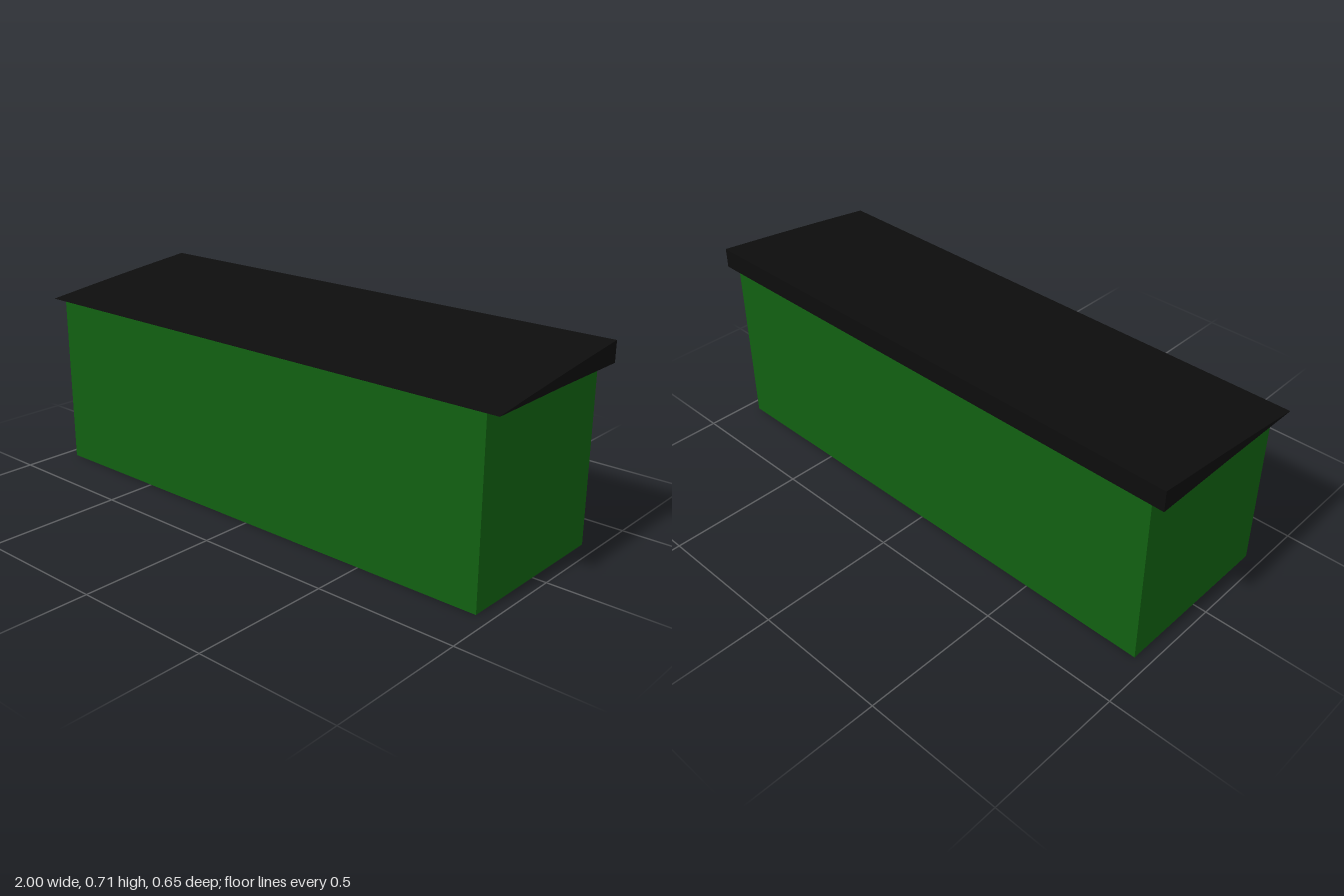
import * as THREE from 'three';

const LENGTH = 2, DEPTH = 0.654, RIBS = 15;

// Wedge roof: a segmented box whose top slopes up to the back with faint ribs
function roofGeometry() {
  const geo = new THREE.BoxGeometry(LENGTH, 1, DEPTH, RIBS * 8, 1, 12);
  const pos = geo.attributes.position;
  for (let i = 0; i < pos.count; i++) {
    const x = pos.getX(i);
    const t = 0.5 - pos.getZ(i) / DEPTH; // 0 at the front eave, 1 at the back
    const under = 0.634 + 0.004 * Math.min(1, t * 2);
    const rib = 0.0012 * Math.sin(Math.PI * t) * Math.cos((x / LENGTH + 0.5) * RIBS * Math.PI * 2);
    const top = 0.635 + 0.077 * t + 0.001 * Math.sin(Math.PI * t) + rib;
    pos.setY(i, pos.getY(i) > 0 ? Math.max(top, under + 0.0005) : under);
  }
  geo.computeVertexNormals();
  return geo;
}

export function createModel() {
  const model = new THREE.Group();
  model.name = 'shed';

  // Plain rectangular body
  const body = new THREE.Mesh(
    new THREE.BoxGeometry(1.9, 0.632, 0.626),
    new THREE.MeshStandardMaterial({ color: 0x116011 })
  );
  body.name = 'body';
  body.position.y = 0.316;

  // Overhanging lean-to roof
  const roof = new THREE.Mesh(
    roofGeometry(),
    new THREE.MeshStandardMaterial({ color: 0x0d0d0d })
  );
  roof.name = 'roof';

  model.add(body, roof);
  return model;
}
